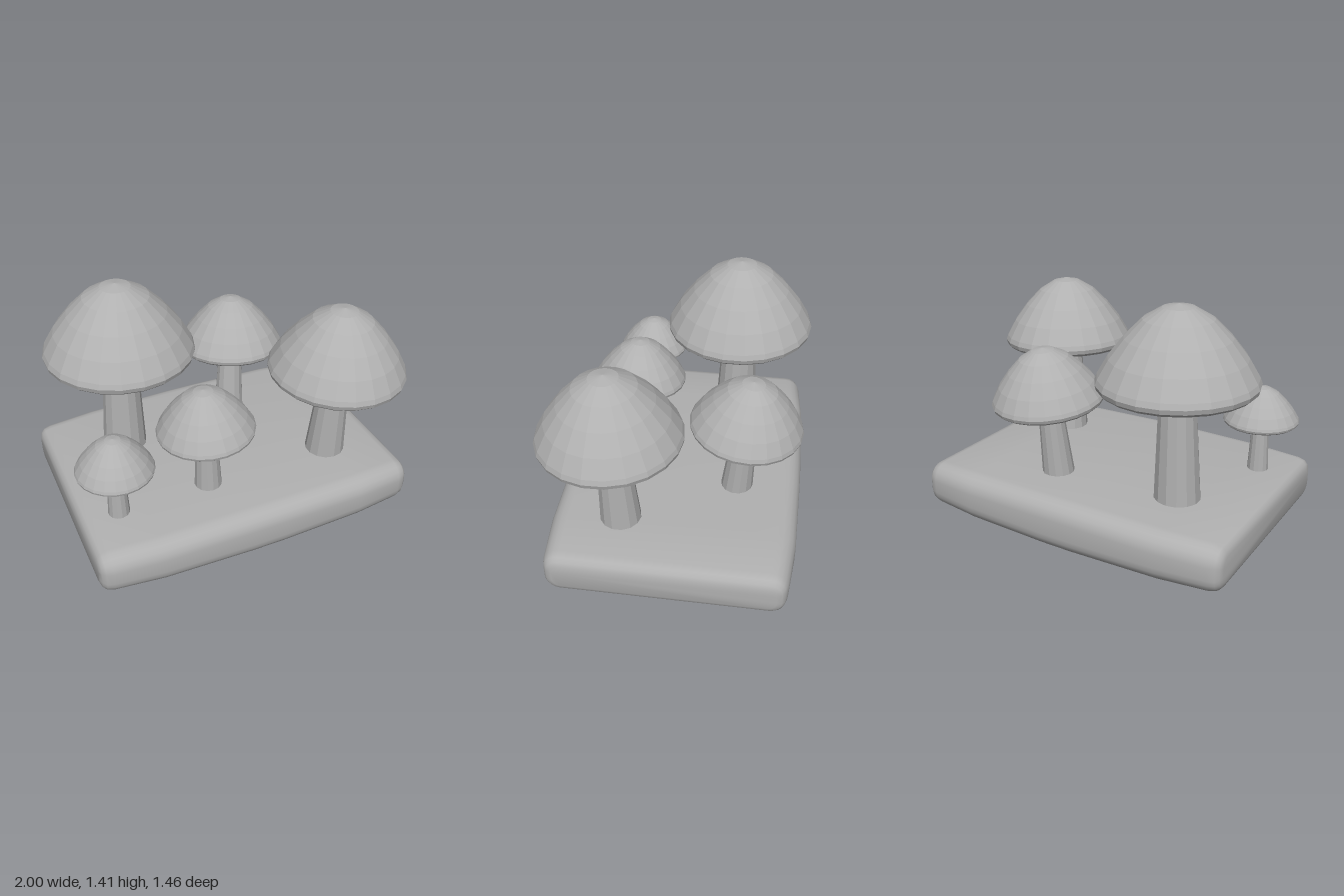
import * as THREE from 'three';
import { toCreasedNormals } from 'three/addons/utils/BufferGeometryUtils.js';

const stone = new THREE.MeshStandardMaterial({ color: 0xb0b0b0 });
stone.name = 'stone grey';

// Cap outline for a unit radius and unit height: flat underside, rolled rim, dome
const CAP_PROFILE = [
  [0, 0], [0.88, 0], [0.94, 0.012], [0.985, 0.05], [1, 0.105], [0.975, 0.17],
  [0.84, 0.39], [0.65, 0.62], [0.43, 0.83], [0.2, 0.96], [0, 1],
];

// Foot and top are stem centres; up is the tilt of the cap
const MUSHROOMS = [
  { name: 'tallMushroom', foot: [-0.54, -0.27], top: [-0.527, 0.94, -0.275], stem: [0.135, 0.1], r: 0.445, h: 0.47, up: [0.012, 1, 0.005] },
  { name: 'frontLeftMushroom', foot: [0.58, 0.29], top: [0.595, 0.865, 0.32], stem: [0.122, 0.083], r: 0.405, h: 0.435, up: [0.033, 1, 0.027] },
  { name: 'backMushroom', foot: [0.215, -0.345], top: [0.243, 0.745, -0.385], stem: [0.097, 0.068], r: 0.326, h: 0.34, up: [0.04, 1, -0.095] },
  { name: 'middleMushroom', foot: [-0.22, 0.31], top: [-0.232, 0.69, 0.315], stem: [0.083, 0.06], r: 0.284, h: 0.29, up: [-0.047, 1, -0.02] },
  { name: 'smallMushroom', foot: [-0.777, 0.32], top: [-0.778, 0.595, 0.32], stem: [0.064, 0.047], r: 0.222, h: 0.226, up: [0.005, 1, 0] },
];

function mesh(name, geometry) {
  const m = new THREE.Mesh(geometry, stone);
  m.name = name;
  return m;
}

function flat(geometry) {
  const g = geometry.index ? geometry.toNonIndexed() : geometry;
  g.computeVertexNormals();
  return g;
}

function makeMushroom({ name, foot, top, stem, r, h, up }) {
  const group = new THREE.Group();
  group.name = name;

  // Leaning, tapered stem: shear a cylinder from its foot to the cap
  const y0 = 0.27, y1 = top[1] + 0.03;
  const g = new THREE.CylinderGeometry(stem[1], stem[0], y1 - y0, 14);
  const p = g.attributes.position;
  for (let i = 0; i < p.count; i++) {
    const t = p.getY(i) / (y1 - y0) + 0.5;
    p.setXYZ(i,
      p.getX(i) + THREE.MathUtils.lerp(foot[0], top[0], t),
      THREE.MathUtils.lerp(y0, y1, t),
      p.getZ(i) + THREE.MathUtils.lerp(foot[1], top[2], t));
  }
  group.add(mesh('stem', flat(g)));

  // Faceted, tilted cap
  const points = CAP_PROFILE.map(([x, y]) => new THREE.Vector2(x * r, y * h));
  const cap = mesh('cap', flat(new THREE.LatheGeometry(points, 22)));
  cap.position.set(...top);
  cap.quaternion.setFromUnitVectors(new THREE.Vector3(0, 1, 0), new THREE.Vector3(...up).normalize());
  group.add(cap);
  return group;
}

// Soft slab: rounded rectangles in the z-y plane, lofted along x
function makeBase() {
  // x, half depth, bottom, top, corner radius
  const stations = [
    [-1, 0.625, 0.085, 0.235, 0.05], [-0.99, 0.655, 0.06, 0.262, 0.07],
    [-0.97, 0.672, 0.037, 0.282, 0.085], [-0.93, 0.685, 0.022, 0.294, 0.1],
    [-0.64, 0.712, 0.01, 0.302, 0.105], [-0.1, 0.72, 0, 0.308, 0.105],
    [0.1, 0.72, 0, 0.308, 0.105], [0.61, 0.712, 0.01, 0.302, 0.105],
    [0.895, 0.685, 0.022, 0.294, 0.1], [0.935, 0.672, 0.037, 0.282, 0.085],
    [0.955, 0.655, 0.06, 0.262, 0.07], [0.965, 0.625, 0.085, 0.235, 0.05],
  ];
  const steps = 5, ring = 4 * (steps + 1);
  const pos = [], index = [];
  for (const [x, hz, lo, hi, r] of stations) {
    for (let c = 0; c < 4; c++) {
      const cz = (c === 0 || c === 3 ? 1 : -1) * (hz - r) - 0.01;
      const cy = c < 2 ? hi - r : lo + r;
      for (let k = 0; k <= steps; k++) {
        const a = (c + k / steps) * Math.PI / 2;
        pos.push(x, cy + r * Math.sin(a), cz + r * Math.cos(a));
      }
    }
  }
  for (let s = 0; s < stations.length - 1; s++) {
    for (let i = 0; i < ring; i++) {
      const j = (i + 1) % ring, a = s * ring, b = a + ring;
      index.push(a + i, b + i, a + j, b + i, b + j, a + j);
    }
  }
  // End faces
  const last = (stations.length - 1) * ring;
  for (let i = 1; i < ring - 1; i++) {
    index.push(0, i, i + 1, last, last + i + 1, last + i);
  }
  const g = new THREE.BufferGeometry();
  g.setAttribute('position', new THREE.Float32BufferAttribute(pos, 3));
  g.setIndex(index);
  return mesh('base', toCreasedNormals(g, 0.6));
}

export function createModel() {
  const model = new THREE.Group();
  model.name = 'mushroomCluster';
  model.add(makeBase(), ...MUSHROOMS.map(makeMushroom));
  return model;
}
